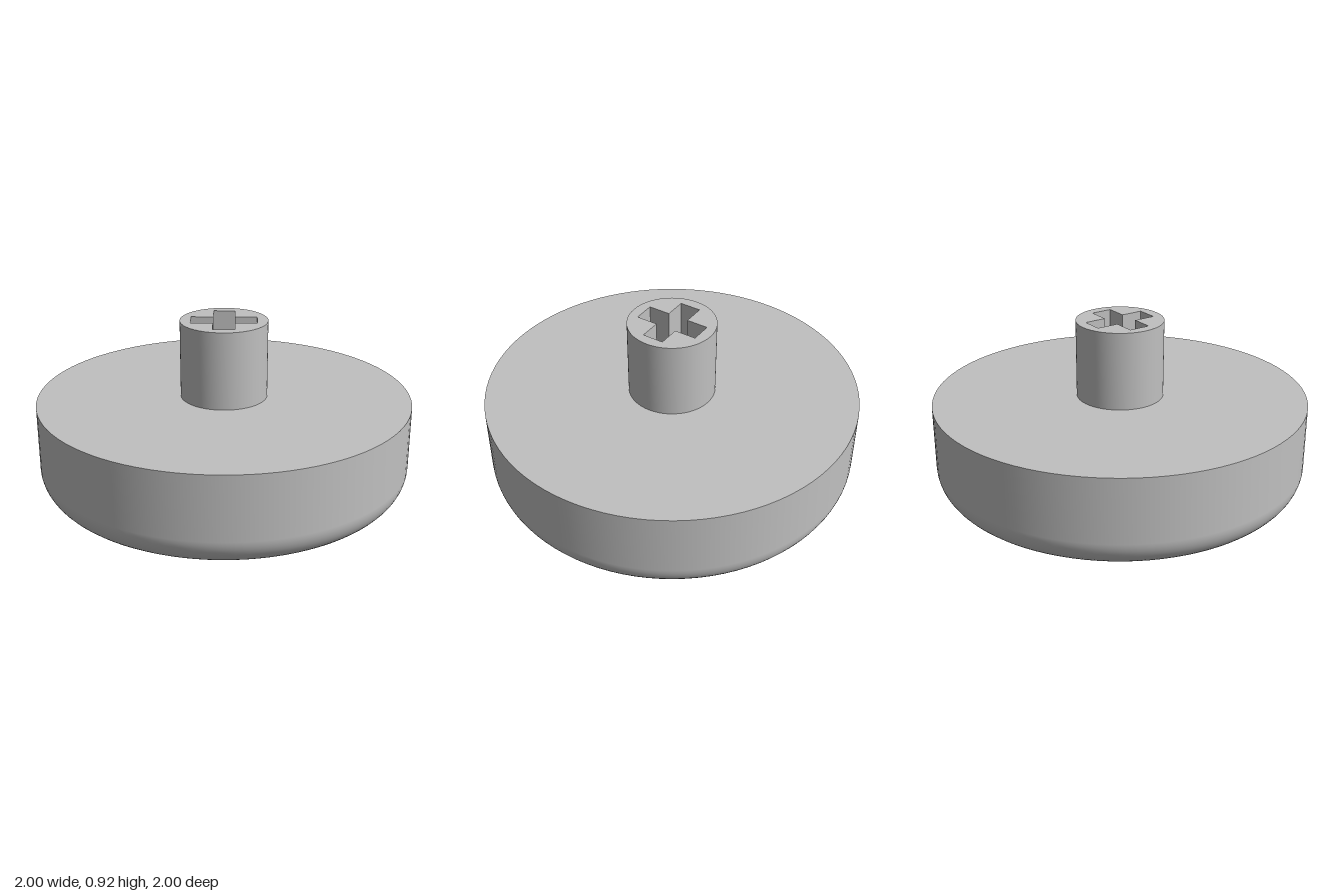
import * as THREE from 'three';
import { toCreasedNormals } from 'three/addons/utils/BufferGeometryUtils.js';

const RADIUS = 1, TOP = 0.5, FILLET = 0.16;
const STEM_RADIUS = 0.233, STEM_TOP = 0.917;
const RECESS = 0.05;
const SEGMENTS = 96;

const disc = (r) => new THREE.Shape().absarc(0, 0, r, 0, Math.PI * 2, false);
const points = (list) => list.map(([x, y]) => new THREE.Vector2(x, y));

// Extrudes a shape upwards from y = 0, smooth on curves and sharp on edges
function extrudeUp(shape, depth) {
  const g = new THREE.ExtrudeGeometry(shape, { depth, bevelEnabled: false, curveSegments: SEGMENTS / 2 });
  return toCreasedNormals(g.rotateX(-Math.PI / 2), 0.5);
}

export function createModel() {
  const group = new THREE.Group();
  const grey = new THREE.MeshStandardMaterial({ color: 0xc0c0c0 });
  grey.name = 'grey';

  const add = (name, geometry, y = 0) => {
    const mesh = new THREE.Mesh(geometry, grey);
    mesh.name = name;
    mesh.position.y = y;
    group.add(mesh);
  };

  // Round side wall with a filleted lower edge
  const profile = [];
  for (let i = 0; i <= 12; i++) {
    const a = (i / 12) * Math.PI / 2;
    profile.push(new THREE.Vector2(
      RADIUS - FILLET + FILLET * Math.sin(a),
      FILLET - FILLET * Math.cos(a)
    ));
  }
  profile.push(new THREE.Vector2(RADIUS, TOP));
  add('bodyWall', new THREE.LatheGeometry(profile, SEGMENTS));

  // Flat top of the body, also the floor of the cross socket
  add('bodyTop', new THREE.CircleGeometry(RADIUS, SEGMENTS).rotateX(-Math.PI / 2), TOP);

  // Underside with a triangular recess pointing to +x
  const triangle = points([[0.46, 0], [-0.315, 0.445], [-0.315, -0.445]]);
  const base = disc(RADIUS - FILLET);
  base.holes.push(new THREE.Path(triangle));
  add('underside', extrudeUp(base, RECESS));
  add('recessFloor', new THREE.ShapeGeometry(new THREE.Shape(triangle)).rotateX(Math.PI / 2), RECESS);

  // Stem with a cross-shaped socket
  const L = 0.175, W = 0.057;
  const cross = points([
    [L, -W], [L, W], [W, W], [W, L], [-W, L], [-W, W],
    [-L, W], [-L, -W], [-W, -W], [-W, -L], [W, -L], [W, -W]
  ]);
  const stem = disc(STEM_RADIUS);
  stem.holes.push(new THREE.Path(cross));
  add('stem', extrudeUp(stem, STEM_TOP - TOP), TOP);

  return group;
}
